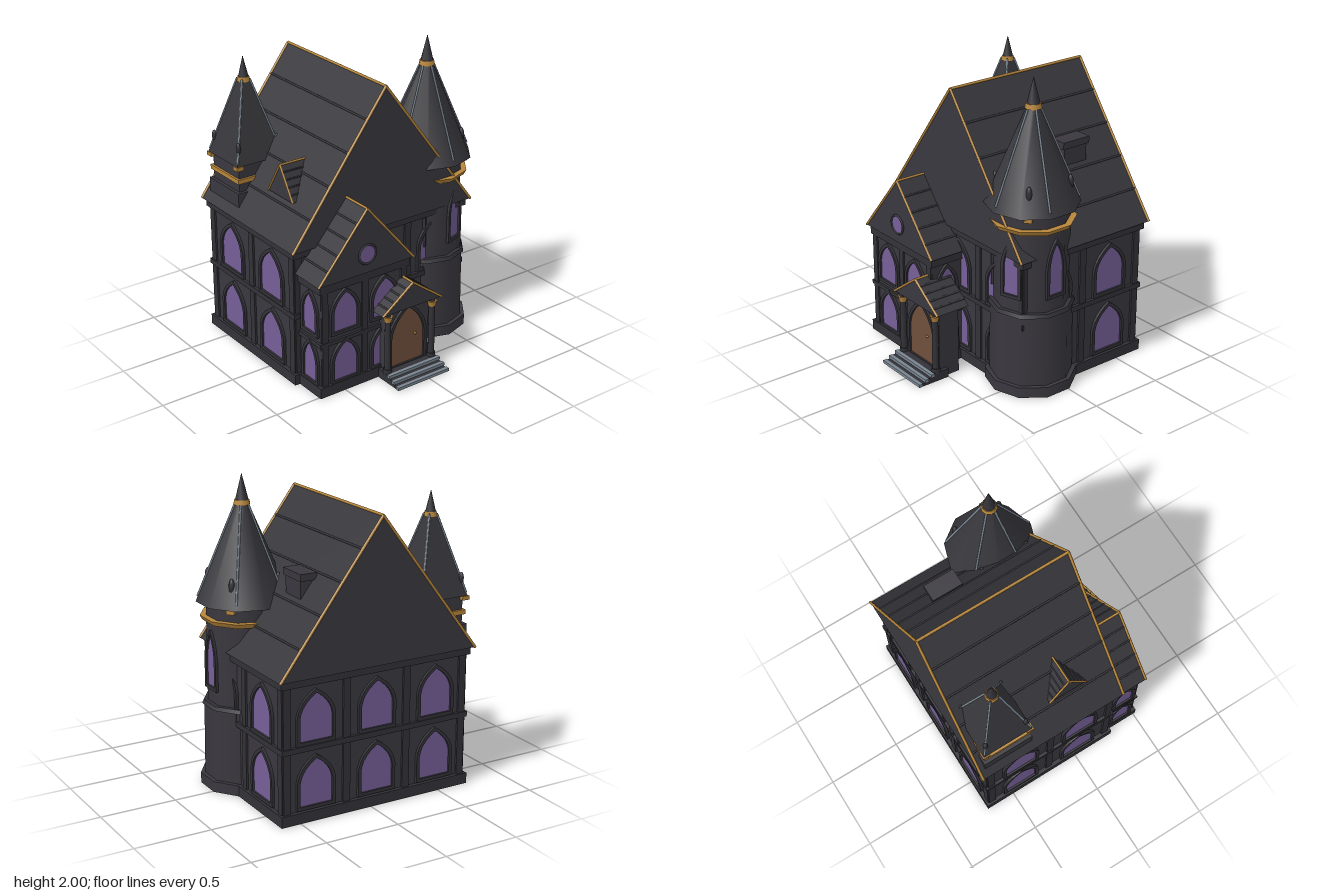
import * as THREE from 'three';

const mat = (name, color) => {
  const m = new THREE.MeshStandardMaterial({ color });
  m.name = name;
  return m;
};

export function createModel() {
  const wall = mat('charcoalWall', 0x3a383f);
  const roof = mat('slateRoof', 0x37373c);
  const dark = mat('darkTrim', 0x333238);
  const gold = mat('gold', 0xb8873b);
  const glass = mat('violetGlass', 0x765f98);
  const wood = mat('doorWood', 0x70503d);
  const steel = mat('steel', 0x7a8692);

  const house = new THREE.Group();
  house.name = 'gothicHouse';

  const add = (name, geo, material, parent = house) => {
    const m = new THREE.Mesh(geo, material);
    m.name = name;
    parent.add(m);
    return m;
  };
  // Box given by its min and max on each axis
  const box = (name, x0, x1, y0, y1, z0, z1, material, parent) => {
    const m = add(name, new THREE.BoxGeometry(x1 - x0, y1 - y0, z1 - z0), material, parent);
    m.position.set((x0 + x1) / 2, (y0 + y1) / 2, (z0 + z1) / 2);
    return m;
  };
  // Round rod between two points
  const rod = (name, a, b, r, material, parent) => {
    const p = new THREE.Vector3(...a), q = new THREE.Vector3(...b);
    const m = add(name, new THREE.CylinderGeometry(r, r, p.distanceTo(q), 6), material, parent);
    m.position.copy(p).add(q).multiplyScalar(0.5);
    m.quaternion.setFromUnitVectors(new THREE.Vector3(0, 1, 0), q.sub(p).normalize());
    return m;
  };
  const drum = (name, rTop, rBot, y0, y1, n, material, parent) => {
    const m = add(name, new THREE.CylinderGeometry(rTop, rBot, y1 - y0, n), material, parent);
    m.position.y = (y0 + y1) / 2;
    return m;
  };

  // Pointed arch outline
  const arch = (P, w, h, y = 0) => {
    const s = new P();
    s.moveTo(-w / 2, y);
    s.lineTo(w / 2, y);
    s.lineTo(w / 2, y + h * 0.5);
    s.quadraticCurveTo(w * 0.45, y + h * 0.8, 0, y + h);
    s.quadraticCurveTo(-w * 0.45, y + h * 0.8, -w / 2, y + h * 0.5);
    s.lineTo(-w / 2, y);
    return s;
  };
  // Arched opening: pane plus raised frame, facing +z before turning
  const opening = (name, w, h, x, y, z, ry, pane = glass, f = 0.022) => {
    const g = new THREE.Group();
    g.name = name;
    const frame = arch(THREE.Shape, w + 2 * f, h + 2.2 * f, -f);
    frame.holes.push(arch(THREE.Path, w, h));
    add('frame', new THREE.ExtrudeGeometry(frame, { depth: 0.018, bevelEnabled: false, curveSegments: 6 }), dark, g);
    add('pane', new THREE.ShapeGeometry(arch(THREE.Shape, w, h), 6), pane, g).position.z = 0.005;
    g.position.set(x, y, z);
    g.rotation.y = ry;
    house.add(g);
    return g;
  };

  // Gable roof running along z, with slope battens and gold edging
  const gable = (name, cx, half, y0, y1, z0, z1, r, bothEnds) => {
    const g = new THREE.Group();
    g.name = name;
    const s = new THREE.Shape();
    s.moveTo(-half, y0);
    s.lineTo(half, y0);
    s.lineTo(0, y1);
    const prism = add('gableRoof', new THREE.ExtrudeGeometry(s, { depth: z1 - z0, bevelEnabled: false }), [wall, roof], g);
    prism.position.z = z0;
    for (const side of [-1, 1]) {
      for (let k = 1; k < 5; k++) {
        const x = side * half * k / 5, y = y1 - (y1 - y0) * k / 5;
        rod('batten', [x, y, z0], [x, y, z1], r * 0.8, dark, g);
      }
      for (const z of bothEnds ? [z0, z1] : [z1])
        rod('rakeTrim', [side * half, y0, z], [0, y1, z], r, gold, g);
    }
    rod('ridgeTrim', [0, y1, z0], [0, y1, z1], r, gold, g);
    g.position.x = cx;
    house.add(g);
    return g;
  };

  // Main block
  const X0 = -0.695, X1 = 0.605, Z0 = -0.675, Z1 = 0.265, CX = -0.045, CZ = -0.205;
  const band = (name, y0, y1, o) => box(name, X0 - o, X1 + o, y0, y1, Z0 - o, Z1 + o, dark);
  box('mainWalls', X0, X1, 0, 0.92, Z0, Z1, wall);
  band('plinth', 0, 0.07, 0.027);
  band('stringCourse', 0.455, 0.49, 0.02);
  band('cornice', 0.87, 0.92, 0.027);
  gable('mainRoof', CX, 0.695, 0.92, 1.84, -0.725, 0.315, 0.009, true);

  // Pilasters at corners and between windows
  for (const dx of [-0.63, -0.215, 0.215, 0.63])
    for (const z of [Z0, Z1])
      box('pilaster', CX + dx - 0.025, CX + dx + 0.025, 0, 0.9, z - 0.013, z + 0.013, dark);
  for (const dz of [-0.45, 0, 0.45])
    for (const x of [X0, X1])
      box('pilaster', x - 0.013, x + 0.013, 0, 0.9, CZ + dz - 0.025, CZ + dz + 0.025, dark);

  // Main windows on two floors
  for (const y of [0.1, 0.515]) {
    for (const dx of [-0.43, 0, 0.43]) {
      opening('backWindow', 0.225, 0.3, CX + dx, y, Z0, Math.PI);
      if (dx >= 0) opening('frontWindow', 0.225, 0.3, CX + dx, y, Z1, 0);
    }
    for (const dz of [-0.225, 0.225]) {
      opening('leftWindow', 0.225, 0.3, X1, y, CZ + dz, Math.PI / 2);
      opening('rightWindow', 0.225, 0.3, X0, y, CZ + dz, -Math.PI / 2);
    }
  }

  // Front wing
  const W0 = -0.665, W1 = -0.015, WZ = 0.495;
  box('wingWalls', W0, W1, 0, 0.77, 0.2, WZ, wall);
  for (const [y0, y1, o] of [[0, 0.07, 0.022], [0.345, 0.372, 0.015], [0.71, 0.77, 0.015]])
    box('wingBand', W0 - o, W1 + o, y0, y1, 0.2, WZ + o, dark);
  for (const x of [-0.64, -0.34, -0.04])
    box('wingPilaster', x - 0.022, x + 0.022, 0, 0.75, WZ - 0.01, WZ + 0.012, dark);
  gable('wingRoof', -0.34, 0.36, 0.77, 1.195, 0.28, 0.525, 0.008, false);
  for (const y of [0.085, 0.425]) {
    for (const x of [-0.49, -0.19]) opening('wingWindow', 0.175, 0.255, x, y, WZ, 0);
    opening('wingSideWindow', 0.13, 0.255, W0, y, 0.39, -Math.PI / 2);
    opening('wingSideWindow', 0.13, 0.255, W1, y, 0.39, Math.PI / 2);
  }
  add('roundWindow', new THREE.CircleGeometry(0.06, 20), glass).position.set(-0.34, 0.895, 0.53);
  add('roundWindowFrame', new THREE.TorusGeometry(0.062, 0.008, 6, 20), dark).position.set(-0.34, 0.895, 0.528);

  // Porch with door, columns and steps
  box('porchWalls', -0.22, 0.125, 0, 0.48, 0.4, 0.55, wall);
  gable('porchRoof', -0.048, 0.232, 0.475, 0.645, 0.36, 0.605, 0.008, false);
  opening('door', 0.255, 0.39, -0.05, 0.065, 0.55, 0, wood);
  add('doorKnob', new THREE.SphereGeometry(0.009, 8, 6), gold).position.set(0.01, 0.25, 0.562);
  for (const x of [-0.222, 0.126]) {
    const c = new THREE.Group();
    c.name = 'porchColumn';
    drum('shaft', 0.02, 0.022, 0, 0.48, 10, dark, c);
    drum('capital', 0.032, 0.024, 0.42, 0.455, 10, gold, c);
    drum('base', 0.028, 0.03, 0.05, 0.085, 10, dark, c);
    c.position.set(x, 0, 0.582);
    house.add(c);
  }
  for (let i = 0; i < 3; i++) {
    const z = 0.73 - i * 0.046, y = 0.02 * (i + 1);
    box('step', -0.245, 0.15, y - 0.02, y, 0.5, z - 0.024, dark);
    box('stepNosing', -0.25, 0.155, y - 0.018, y + 0.002, z - 0.024, z, steel);
  }

  // Finial collar and spike on top of a spire
  const finial = (y, r, h, parent) => {
    drum('spireCollar', r * 1.1, r * 1.25, y - 0.015, y + 0.015, 10, gold, parent);
    drum('spireSpike', 0.001, r, y + 0.01, y + h, 10, dark, parent);
  };

  // Round corner tower, ten sides
  const tower = new THREE.Group();
  tower.name = 'cornerTower';
  tower.position.set(0.46, 0, 0.08);
  house.add(tower);
  drum('towerPlinth', 0.29, 0.29, 0, 0.07, 10, wall, tower);
  drum('lowerTower', 0.258, 0.262, 0.07, 0.55, 10, wall, tower);
  drum('towerBand', 0.262, 0.272, 0.54, 0.565, 10, dark, tower);
  drum('upperTower', 0.235, 0.235, 0.55, 1.22, 10, wall, tower);
  drum('goldBand', 0.275, 0.258, 1.09, 1.12, 10, gold, tower);
  drum('towerSpire', 0.035, 0.298, 1.21, 1.83, 10, roof, tower);
  finial(1.825, 0.042, 0.175, tower);
  for (let k = 0; k < 5; k++) {
    const a = k * Math.PI * 0.4, s = Math.sin(a), c = Math.cos(a);
    rod('spireRib', [0.285 * s, 1.245, 0.285 * c], [0.036 * s, 1.83, 0.036 * c], 0.007, steel, tower);
    const b = a + Math.PI / 10;
    opening('towerWindow', 0.105, 0.34, 0.46 + 0.222 * Math.sin(b), 0.675, 0.08 + 0.222 * Math.cos(b), b);
  }
  for (let k = 0; k < 4; k++) {
    const a = Math.PI / 4 + k * Math.PI / 2, s = Math.sin(a), c = Math.cos(a);
    const bracket = add('eaveBracket', new THREE.BoxGeometry(0.05, 0.03, 0.05), gold, tower);
    bracket.position.set(0.245 * s, 1.195, 0.245 * c);
    bracket.rotation.y = a;
    const vent = add('spireVent', new THREE.SphereGeometry(0.02, 8, 8), dark, tower);
    vent.scale.y = 2.6;
    vent.position.set(0.228 * s, 1.345, 0.228 * c);
  }

  // Square turret rising from the rear right corner of the roof
  const turret = new THREE.Group();
  turret.name = 'rearTurret';
  turret.position.set(-0.525, 0, -0.515);
  house.add(turret);
  const H = 0.172;
  box('turretWalls', -0.15, 0.15, 0.93, 1.25, -0.15, 0.15, wall, turret);
  box('turretBase', -0.172, 0.172, 0.95, 1.07, -0.172, 0.172, wall, turret);
  box('turretGoldBand', -0.165, 0.165, 1.13, 1.16, -0.165, 0.165, gold, turret);
  const cone = new THREE.CylinderGeometry(0.04, H * Math.SQRT2, 0.51, 4).toNonIndexed();
  cone.computeVertexNormals();
  const spire = add('turretSpire', cone, roof, turret);
  spire.rotation.y = Math.PI / 4;
  spire.position.y = 1.505;
  finial(1.755, 0.034, 0.145, turret);
  for (const sx of [-1, 1])
    for (const sz of [-1, 1]) {
      rod('turretRib', [sx * 0.165, 1.27, sz * 0.165], [sx * 0.028, 1.755, sz * 0.028], 0.007, steel, turret);
      box('turretBracket', sx * 0.155 - 0.025, sx * 0.155 + 0.025, 1.225, 1.25, sz * 0.155 - 0.025, sz * 0.155 + 0.025, gold, turret);
      const vent = add('turretVent', new THREE.SphereGeometry(0.016, 8, 8), dark, turret);
      vent.scale.y = 2.4;
      vent.position.set(sx * 0.142, 1.36, sz * 0.142);
    }

  // Dormer on the right slope, turned to face -x
  const dormer = gable('dormer', 0, 0.132, 1.145, 1.355, 0.35, 0.595, 0.007, false);
  dormer.rotation.y = -Math.PI / 2;
  dormer.position.z = -0.02;
  box('dormerWalls', -0.1, 0.1, 1.0, 1.15, 0.4, 0.575, wall, dormer);

  // Chimney on the left slope
  box('chimney', 0.255, 0.35, 1.2, 1.43, -0.445, -0.265, wall);
  box('chimneyCap', 0.245, 0.36, 1.43, 1.475, -0.46, -0.25, wall);

  return house;
}
